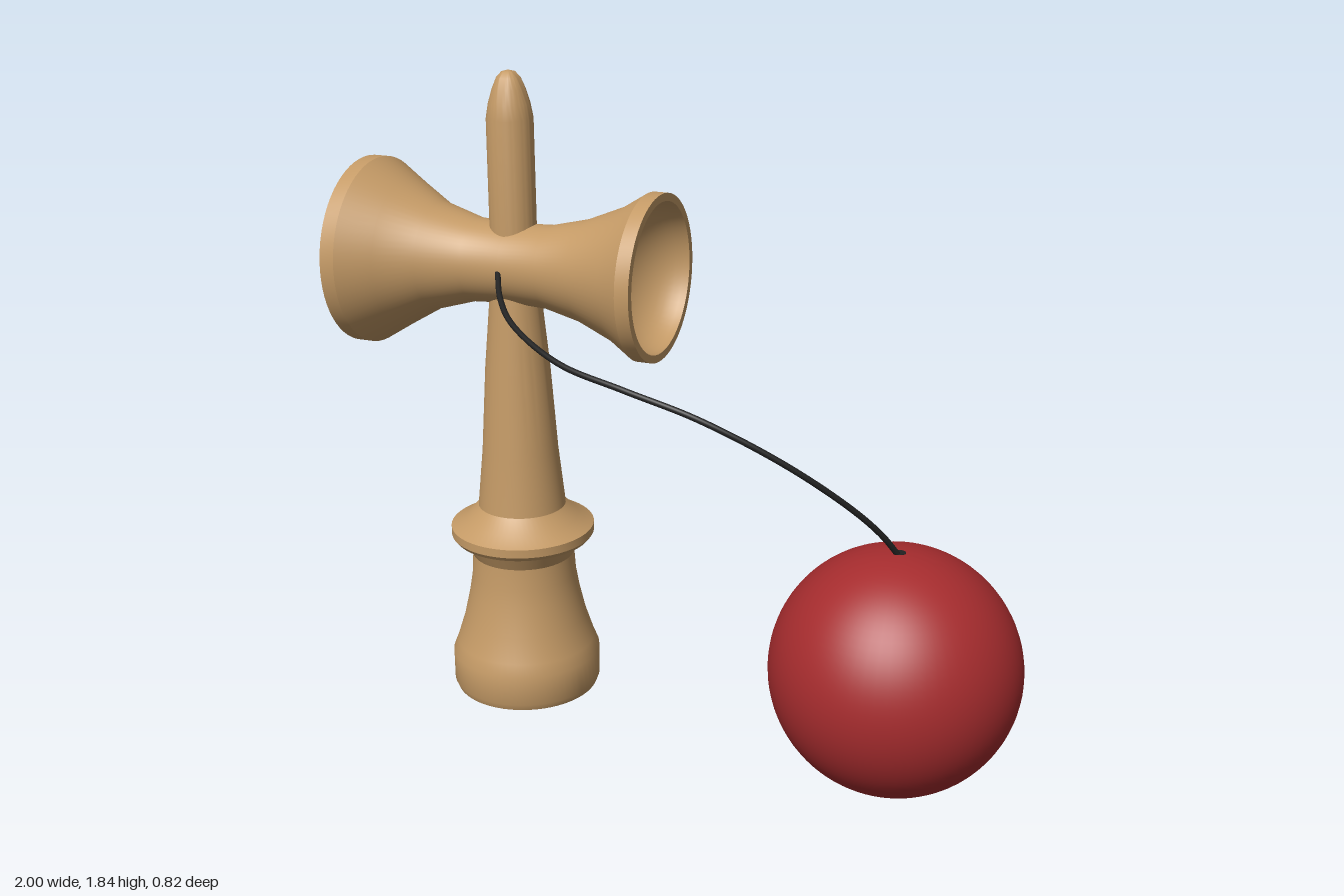
import * as THREE from 'three';
import { toCreasedNormals } from 'three/addons/utils/BufferGeometryUtils.js';

const AXIS_X = -0.535, AXIS_Z = -0.143, CROSS_Y = 1.303;

const wood = new THREE.MeshStandardMaterial({ color: 0xc49a66 });
wood.name = 'wood';
const red = new THREE.MeshStandardMaterial({ color: 0xa62c2e });
red.name = 'red lacquer';
const black = new THREE.MeshStandardMaterial({ color: 0x222222 });
black.name = 'black cord';

// Turned part from [radius, height] pairs running up the outside
function turned(profile, crease = 0.5) {
  const points = profile.map(([r, h]) => new THREE.Vector2(r, h));
  return toCreasedNormals(new THREE.LatheGeometry(points, 64), crease);
}

// Elliptical hollow from its deepest point (on the axis) out to the rim
function hollow(radius, depth, rimHeight, direction, steps = 12) {
  return Array.from({ length: steps + 1 }, (_, i) => {
    const t = (i / steps) * Math.PI / 2;
    return [radius * Math.sin(t), rimHeight + direction * depth * Math.cos(t)];
  });
}

function part(name, geometry, material) {
  const mesh = new THREE.Mesh(geometry, material);
  mesh.name = name;
  return mesh;
}

export function createModel() {
  const model = new THREE.Group();
  model.name = 'cupAndBallToy';

  // Handle: hollow base cup, collar, tapering shaft
  const handle = part('handle', turned([
    ...hollow(0.185, 0.09, 0, 1),
    [0.212, 0], [0.22, 0.02], [0.22, 0.11], [0.206, 0.145], [0.182, 0.22],
    [0.164, 0.3], [0.154, 0.36], [0.15, 0.425], [0.174, 0.47],
    [0.2, 0.477], [0.21, 0.49], [0.21, 0.515], [0.165, 0.54], [0.128, 0.578],
    [0.11, 0.75], [0.093, 1.0], [0.074, 1.2], [0.066, 1.35],
  ]), wood);
  handle.position.set(AXIS_X, 0, AXIS_Z);

  // Spike
  const spike = part('spike', turned([
    [0.066, 1.3], [0.065, 1.71], [0.058, 1.75], [0.046, 1.79],
    [0.033, 1.82], [0.019, 1.835], [0, 1.84],
  ], 0.7), wood);
  spike.position.set(AXIS_X, 0, AXIS_Z);

  // Crosspiece with the large cup on -x and the small cup on +x
  const crossGeometry = turned([
    ...hollow(0.243, 0.16, -0.465, 1),
    [0.267, -0.465], [0.267, -0.422], [0.213, -0.335], [0.154, -0.235],
    [0.119, -0.115], [0.112, 0], [0.117, 0.115], [0.143, 0.225],
    [0.188, 0.335], [0.232, 0.405], [0.232, 0.445],
    ...hollow(0.21, 0.15, 0.445, -1).reverse(),
  ]);
  crossGeometry.rotateZ(-Math.PI / 2);
  const crosspiece = part('crosspiece', crossGeometry, wood);
  crosspiece.position.set(AXIS_X, CROSS_Y, AXIS_Z);

  // Ball with a bored hole underneath
  const R = 0.336, holeR = 0.122, start = Math.asin(holeR / R);
  const shell = Array.from({ length: 41 }, (_, i) => {
    const t = start + (i / 40) * (Math.PI - start);
    return [R * Math.sin(t), -R * Math.cos(t)];
  });
  shell[40][0] = 0;
  const ball = part('ball', turned([
    [0, -0.06], [0.112, -0.09], [0.116, -0.3], ...shell,
  ]), red);
  ball.position.set(0.66, 0.369, 0.07);

  // Cord from the crosspiece to the top of the ball
  const path = new THREE.CatmullRomCurve3([
    [-0.535, 1.303, -0.04], [-0.48, 1.258, 0.055], [-0.4, 1.22, 0.145],
    [-0.2, 1.173, 0.277], [0, 1.145, 0.33], [0.2, 1.095, 0.332],
    [0.4, 0.985, 0.268], [0.55, 0.855, 0.178], [0.62, 0.765, 0.115], [0.66, 0.69, 0.07],
  ].map((p) => new THREE.Vector3(...p)));
  const cord = part('cord', new THREE.TubeGeometry(path, 90, 0.008, 10), black);

  // Cord hole on top of the ball
  const cordHole = part('cordHole', new THREE.CylinderGeometry(0.014, 0.014, 0.006, 20), black);
  cordHole.position.set(0.66, 0.703, 0.07);

  model.add(handle, spike, crosspiece, ball, cord, cordHole);
  return model;
}
